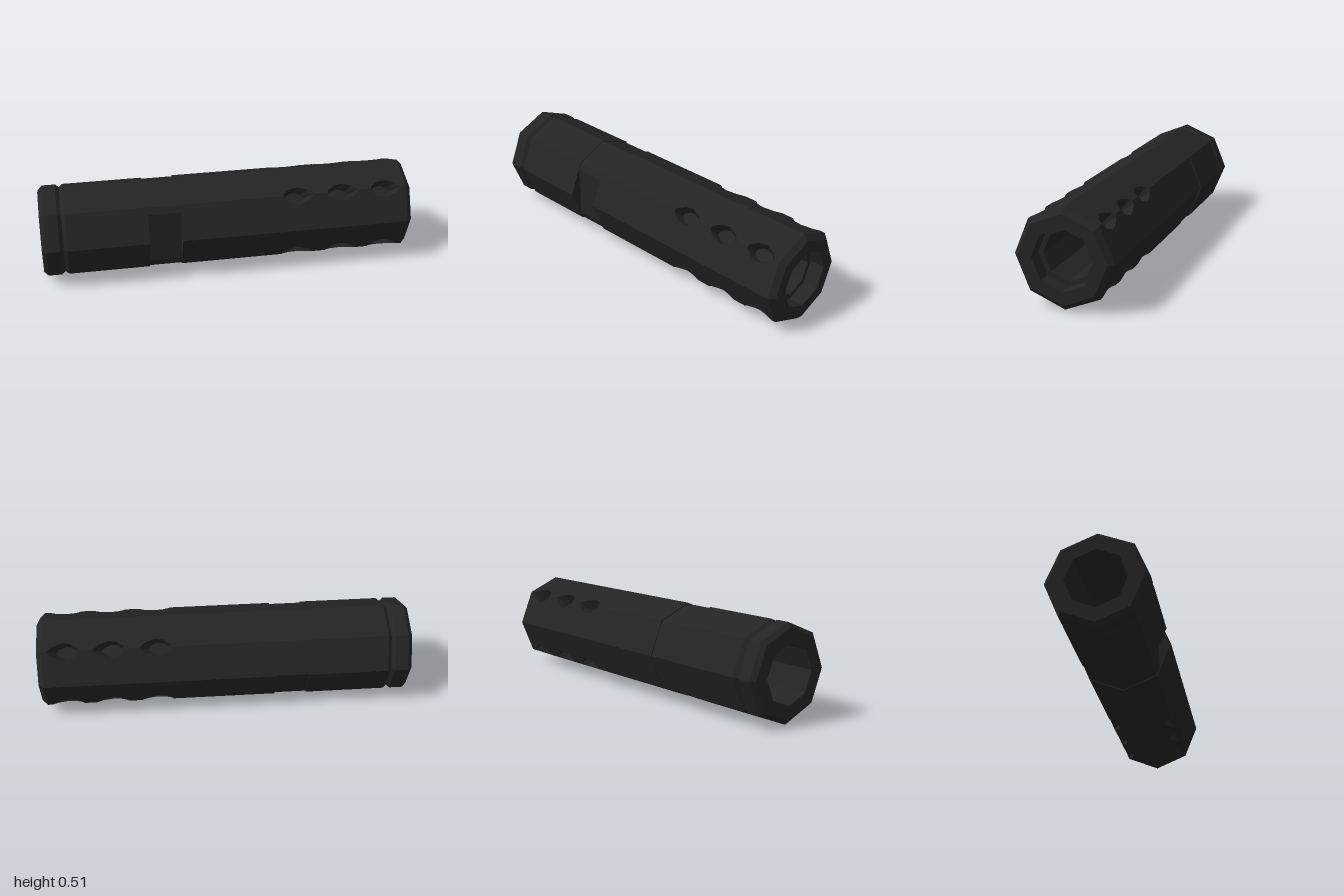
import * as THREE from 'three';

const R = 0.253;            // outer octagon radius
const STEP = Math.PI / 4;   // octagon corner angle
const PORT_X = [0.375, 0.62, 0.86];
// half outline of a port: x from its centre, distance from the corner edge
const PORT = [[-0.085, 0], [-0.083, 0.014], [-0.045, 0.043], [0, 0.052], [0.055, 0.03], [0.085, 0]];

export function createModel() {
  const group = new THREE.Group();
  const steel = new THREE.MeshStandardMaterial({ color: 0x242424, flatShading: true, side: THREE.DoubleSide });
  steel.name = 'black steel';

  const add = (name, geometry) => {
    const mesh = new THREE.Mesh(geometry, steel);
    mesh.name = name;
    mesh.position.y = R;
    group.add(mesh);
  };
  // octagonal turning along x from [radius, x] pairs
  const turned = (points) =>
    new THREE.LatheGeometry(points.map(([r, x]) => new THREE.Vector2(r, x)), 8).rotateZ(-Math.PI / 2);

  // rear sleeve with end chamfer and V groove
  add('rearSleeve', turned([[0.155, -1], [0.23, -1], [R, -0.978], [R, -0.907], [0.236, -0.888],
    [R, -0.869], [R, -0.44], [0.157, -0.44]]));

  // recessed collar with one flat cut on the front
  const collar = new THREE.Shape();
  const cr = 0.247;
  const outline = [];
  for (let k = 0; k < 8; k++) {
    if (k === 4) outline.push([-0.19, 0.139], [-0.19, -0.139]);
    else outline.push([cr * Math.cos(k * STEP), cr * Math.sin(k * STEP)]);
  }
  collar.setFromPoints(outline.map(([x, y]) => new THREE.Vector2(x, y)));
  const hole = [];
  for (let k = 0; k < 8; k++) hole.push(new THREE.Vector2(0.157 * Math.cos(k * STEP), 0.157 * Math.sin(k * STEP)));
  collar.holes.push(new THREE.Path(hole));
  add('recessedCollar', new THREE.ExtrudeGeometry(collar, { depth: 0.175, bevelEnabled: false })
    .rotateY(Math.PI / 2).translate(-0.44, 0, 0));

  // front barrel ends and stepped bore
  add('barrelShoulder', turned([[0.157, -0.265], [R, -0.265]]));
  add('muzzleRim', turned([[R, 0.972], [0.225, 1], [0.157, 1]]));
  add('bore', turned([[0.157, 1], [0.157, 0.92], [0.13, 0.92], [0.13, -0.3], [0.155, -0.3], [0.155, -1]]));

  // flat side panel with port notches along its v = 0 edge
  const width = 2 * R * Math.sin(STEP / 2);
  const panel = new THREE.Shape();
  panel.moveTo(-0.265, 0);
  for (const cx of PORT_X) for (const [x, v] of PORT) panel.lineTo(cx + x, v);
  panel.lineTo(0.972, 0);
  panel.lineTo(0.972, width);
  panel.lineTo(-0.265, width);

  const corner = (a) => new THREE.Vector3(0, R * Math.sin(a), R * Math.cos(a));
  for (let k = 0; k < 4; k++) {
    const a = STEP + k * Math.PI / 2;
    const p = corner(a);

    // two panels meeting at the ported corner
    for (const side of [-1, 1]) {
      const v = corner(a + side * STEP).sub(p).normalize();
      const x = new THREE.Vector3(1, 0, 0);
      const n = new THREE.Vector3().crossVectors(x, v);
      const geometry = new THREE.ShapeGeometry(panel);
      geometry.applyMatrix4(new THREE.Matrix4().makeBasis(x, v, n).setPosition(p));
      if (n.dot(p) < 0) geometry.index.array.reverse();
      add('barrelPanel', geometry);
    }

    // blind ports, leaning slightly to the rear
    const radial = corner(a).normalize();
    const tangent = new THREE.Vector3(0, Math.cos(a), -Math.sin(a));
    const at = (x, t, r) => new THREE.Vector3(x, 0, 0).addScaledVector(tangent, t).addScaledVector(radial, r);
    const loop = [...PORT, ...PORT.slice(1, -1).reverse().map(([x, v]) => [x, -v])];
    for (const cx of PORT_X) {
      const rim = loop.map(([x, v]) =>
        at(cx + x, v * Math.cos(STEP / 2), R - Math.abs(v) * Math.sin(STEP / 2)));
      const floor = loop.map(([x, v]) => at(cx - 0.015 + x * 0.65, v * 0.65, R - 0.07));
      const centre = at(cx - 0.015, 0, R - 0.07);
      const tris = [];
      rim.forEach((q, i) => {
        const j = (i + 1) % rim.length;
        tris.push(q, floor[i], rim[j], rim[j], floor[i], floor[j], floor[i], centre, floor[j]);
      });
      // make the faces look out of the pocket
      const facing = new THREE.Vector3().crossVectors(
        centre.clone().sub(floor[0]), floor[1].clone().sub(floor[0])).dot(radial);
      if (facing < 0) tris.reverse();
      const geometry = new THREE.BufferGeometry().setFromPoints(tris);
      geometry.computeVertexNormals();
      add('port', geometry);
    }
  }
  return group;
}
